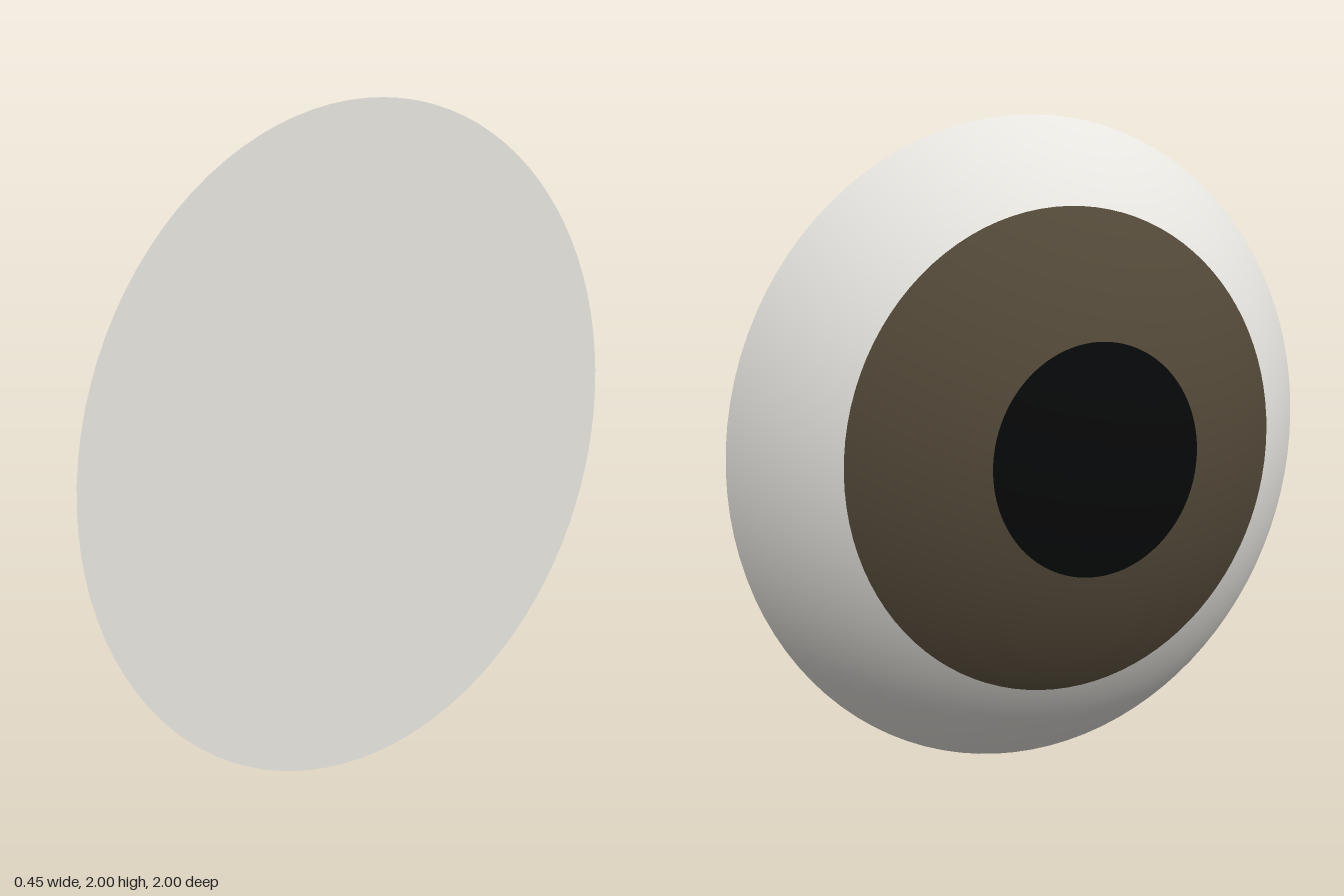
import * as THREE from 'three';

const RIM = 1, DEPTH = 0.445;
const R = (RIM * RIM + DEPTH * DEPTH) / (2 * DEPTH); // sphere the dome is cut from
const angleAt = (radius) => Math.asin(radius / R);

export function createModel() {
  const white = new THREE.MeshStandardMaterial({ color: 0xe6e4df });
  const brown = new THREE.MeshStandardMaterial({ color: 0x524838 });
  const black = new THREE.MeshStandardMaterial({ color: 0x070809 });
  white.name = 'eye white';
  brown.name = 'iris brown';
  black.name = 'pupil black';

  const eye = new THREE.Group();
  eye.name = 'eye';

  // One ring of the dome between two radii, bulging towards -x
  function zone(name, inner, outer, rings, material) {
    const start = angleAt(inner);
    const geometry = new THREE.SphereGeometry(R, 96, rings, 0, Math.PI * 2, start, angleAt(outer) - start);
    geometry.rotateZ(Math.PI / 2);
    geometry.translate(R - DEPTH / 2, RIM, 0);
    const mesh = new THREE.Mesh(geometry, material);
    mesh.name = name;
    eye.add(mesh);
  }
  zone('pupil', 0, 0.35, 6, black);
  zone('iris', 0.35, 0.735, 8, brown);
  zone('sclera', 0.735, RIM, 8, white);

  // Flat disc closing the dome on the +x side
  const disc = new THREE.CircleGeometry(RIM, 96);
  disc.rotateY(Math.PI / 2);
  disc.translate(DEPTH / 2, RIM, 0);
  const back = new THREE.Mesh(disc, white);
  back.name = 'flatBack';
  eye.add(back);

  return eye;
}
